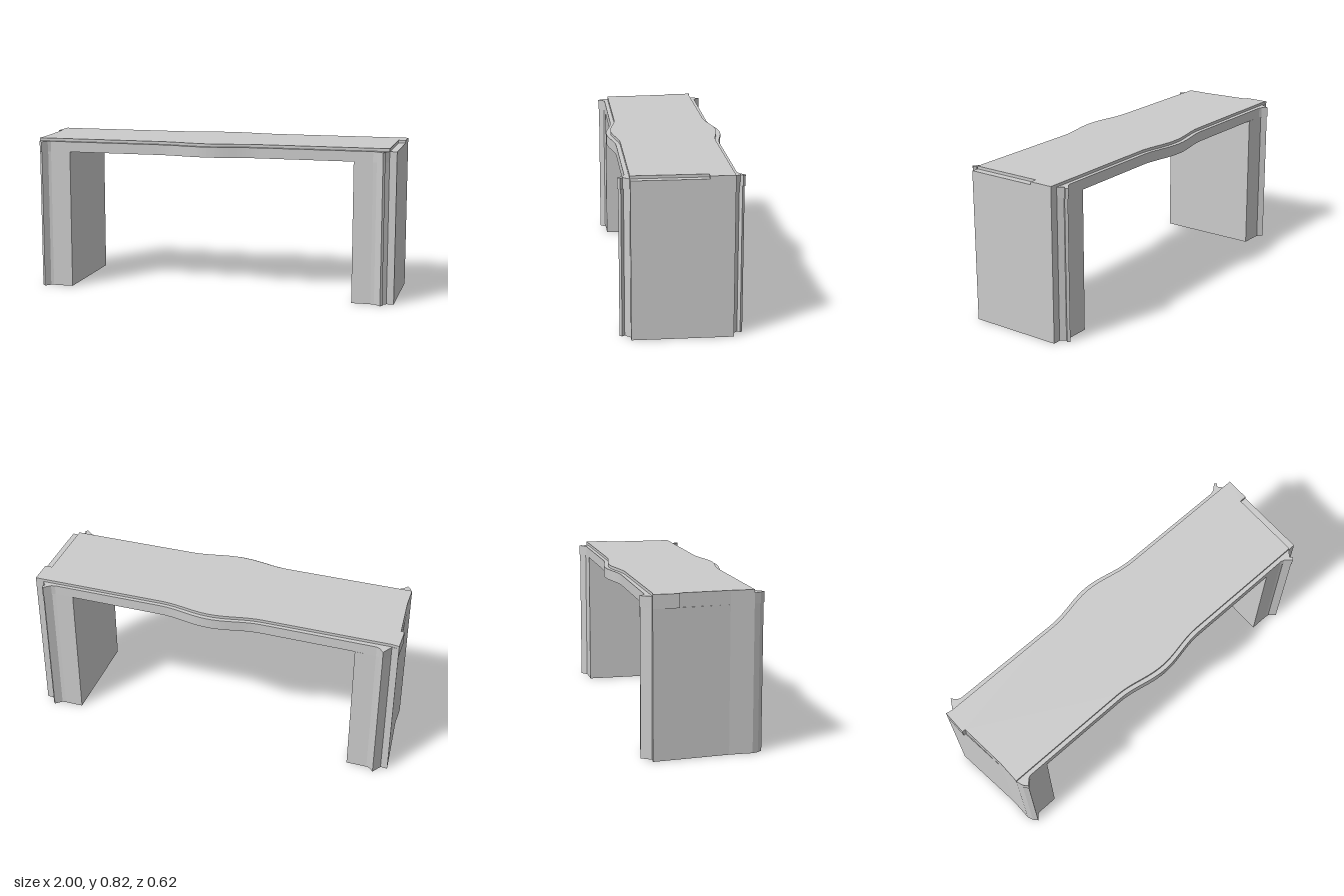
import * as THREE from 'three';

const LEG_TOP = 0.75, APRON_TOP = 0.805, TOP = 0.82;

// Vertical prism from a plan outline of [x, z] points
function prism(name, outline, y0, y1, material) {
  const shape = new THREE.Shape(outline.map(([x, z]) => new THREE.Vector2(x, -z)));
  const geometry = new THREE.ExtrudeGeometry(shape, { depth: y1 - y0, bevelEnabled: false });
  geometry.rotateX(-Math.PI / 2).translate(0, y0, 0);
  const mesh = new THREE.Mesh(geometry, material);
  mesh.name = name;
  return mesh;
}

// Gentle bulge in the middle of a long edge, running from -x to +x
function bowedEdge(z, amount, steps = 24) {
  const points = [];
  for (let i = 0; i <= steps; i++) {
    const x = -0.28 + (0.56 * i) / steps;
    const bulge = 0.5 * (1 + Math.cos((Math.PI * x) / 0.28));
    points.push([x, z + Math.sign(z) * amount * bulge]);
  }
  return points;
}

// Flared corner moldings, each listed from the long edge to the end face
function flares(d) {
  return {
    rightFront: [[0.88, 0.272], [0.9, 0.278 - d], [0.935, 0.308 - d], [0.946, 0.296 - d],
      [0.934, 0.282 - d], [0.962, 0.25], [1, 0.25]],
    rightBack: [[0.88, -0.275], [0.9, -0.281 + d], [0.935, -0.31 + d], [0.946, -0.298 + d],
      [0.934, -0.284 + d], [0.957, -0.255], [1, -0.255]],
    leftFront: [[-0.89, 0.272], [-0.905, 0.28 - d], [-0.93, 0.308 - d], [-0.95, 0.285 - d], [-0.962, 0.25]],
    leftBack: [[-0.89, -0.28], [-0.905, -0.287 + d], [-0.93, -0.313 + d], [-0.963, -0.258], [-1, -0.262]],
  };
}

export function createModel() {
  const group = new THREE.Group();
  const material = new THREE.MeshStandardMaterial({ color: 0xcccccc, flatShading: true });
  const leftEnd = [[-0.962, 0.13], [-0.982, -0.13], [-1, -0.13]];

  // Legs with flared corners; the left one has a slanted outer face
  const leg = flares(0.004);
  group.add(prism('rightLeg', [
    [0.78, 0.272], ...leg.rightFront, ...leg.rightBack.slice().reverse(), [0.78, -0.275],
  ], 0, LEG_TOP, material));
  group.add(prism('leftLeg', [
    [-0.78, 0.272], [-0.78, -0.28], ...leg.leftBack, [-0.962, 0.13], ...leg.leftFront.slice().reverse(),
  ], 0, LEG_TOP, material));

  // Apron slab with the bowed long edges and corner capitals
  const cap = flares(0);
  group.add(prism('apron', [
    ...cap.leftFront.slice().reverse(), ...bowedEdge(0.272, 0.037), ...cap.rightFront,
    ...cap.rightBack.slice().reverse(), ...bowedEdge(-0.276, 0.038).reverse(),
    ...cap.leftBack, ...leftEnd.slice().reverse(),
  ], LEG_TOP, APRON_TOP, material));

  // Thin raised top, set back along the edges and notched at the right end
  group.add(prism('tabletop', [
    [-0.962, 0.25], ...bowedEdge(0.25, 0.036), [0.962, 0.25],
    [0.962, -0.13], [1, -0.13], [1, -0.255],
    ...bowedEdge(-0.255, 0.036).reverse(),
    [-0.963, -0.255], [-1, -0.262], ...leftEnd.slice().reverse(),
  ], APRON_TOP, TOP, material));

  return group;
}
